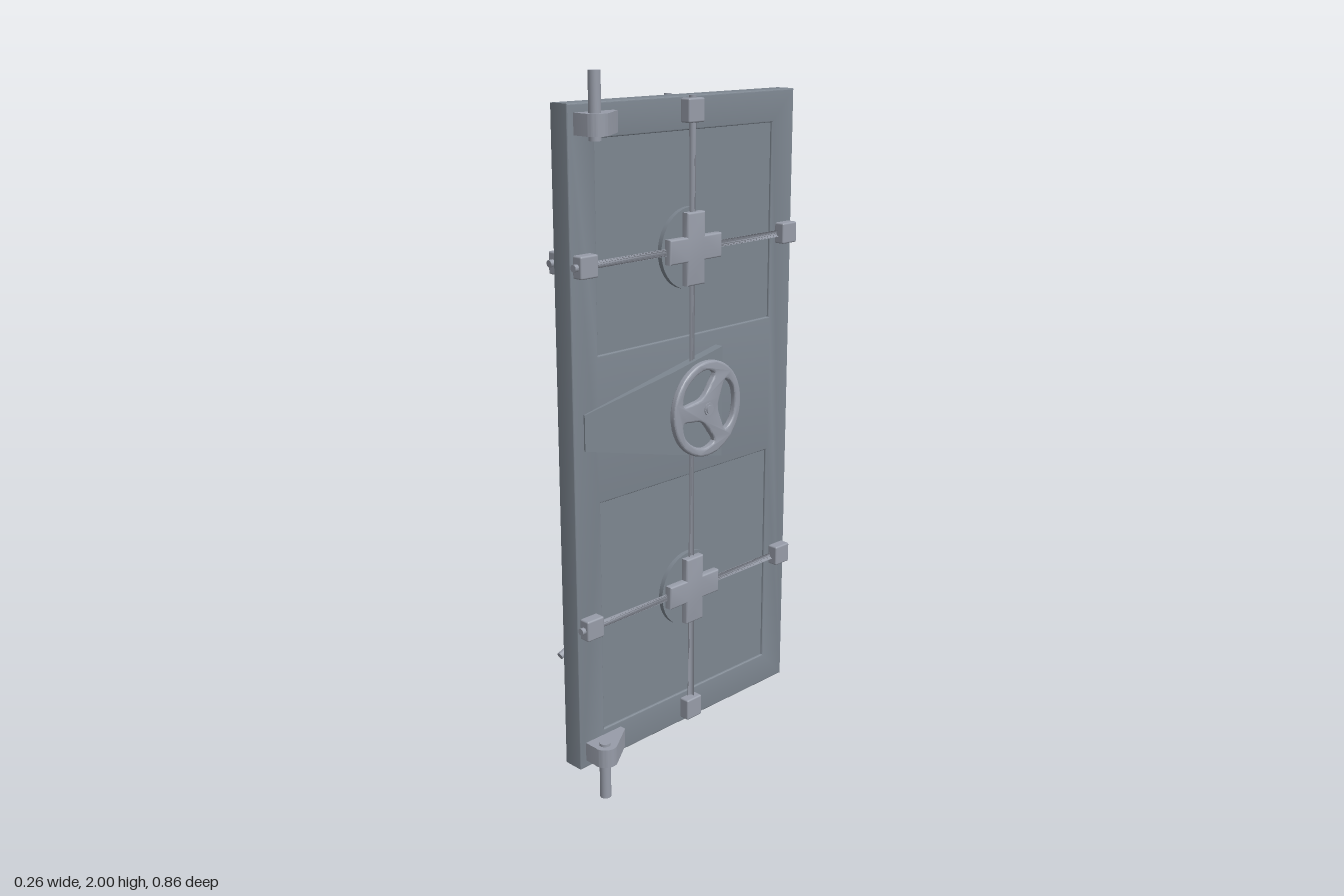
import * as THREE from 'three';
import { toCreasedNormals } from 'three/addons/utils/BufferGeometryUtils.js';
import { RoundedBoxGeometry } from 'three/addons/geometries/RoundedBoxGeometry.js';

const CX = 0.0155; // middle plane of the door
const HALF = 0.0325; // half the door thickness

export function createModel() {
  const model = new THREE.Group();
  const doorMat = new THREE.MeshStandardMaterial({ color: 0x7d8690 });
  const metalMat = new THREE.MeshStandardMaterial({ color: 0x979ca8 });

  const add = (name, geometry, material, x = 0, y = 0, z = 0, parent = model) => {
    const mesh = new THREE.Mesh(geometry, material);
    mesh.name = name;
    mesh.position.set(x, y, z);
    parent.add(mesh);
    return mesh;
  };
  const box = (name, w, h, d, x, y, z, parent) =>
    add(name, new RoundedBoxGeometry(w, h, d, 2, 0.005), metalMat, x, y, z, parent);

  // Outline drawn in (z, y), extruded along x and centred on x = 0
  const polygon = (pts) => new THREE.Shape(pts.map(([z, y]) => new THREE.Vector2(z, y)));
  const slab = (shape, thickness, bevel = 0) => {
    const g = new THREE.ExtrudeGeometry(shape, {
      depth: thickness - 2 * bevel, curveSegments: 24, bevelEnabled: bevel > 0,
      bevelThickness: bevel, bevelSize: bevel, bevelOffset: -bevel, bevelSegments: 3,
    });
    g.translate(0, 0, bevel - thickness / 2);
    g.rotateY(-Math.PI / 2);
    return toCreasedNormals(g, 0.6);
  };
  const rect = (z, y0, y1) => [[-z, y0], [z, y0], [z, y1], [-z, y1]];

  // Door leaf with an upper and a lower recessed panel on both faces
  const leaf = polygon(rect(0.425, 0.085, 1.92));
  for (const [y0, y1] of [[0.18, 0.86], [1.27, 1.83]]) {
    leaf.holes.push(polygon(rect(0.335, y0, y1)));
    add('recessedPanel', slab(polygon(rect(0.34, y0 - 0.005, y1 + 0.005)), 2 * HALF - 0.014), doorMat, CX);
  }
  add('doorLeaf', slab(leaf, 2 * HALF, 0.004), doorMat, CX);

  // Lock plate: even near the wheel, then tapering towards the hinge edge
  const edge = [[-0.11, 0.9, 1.225, 0.06], [0.08, 0.945, 1.185, 0.06], [0.39, 1.02, 1.12, 0.037]];
  for (let i = 0; i < 2; i++) {
    const [a, b] = [edge[i], edge[i + 1]];
    const g = new THREE.ExtrudeGeometry(
      polygon([[a[0], a[1]], [b[0], b[1]], [b[0], b[2]], [a[0], a[2]]]), { depth: 2, bevelEnabled: false });
    g.translate(0, 0, -1);
    g.rotateY(-Math.PI / 2);
    const p = g.attributes.position;
    for (let k = 0; k < p.count; k++) {
      const f = (p.getZ(k) - a[0]) / (b[0] - a[0]);
      p.setX(k, p.getX(k) * THREE.MathUtils.lerp(a[3], b[3], f));
    }
    g.computeVertexNormals();
    add('lockPlate', g, doorMat, CX);
  }

  // Rod through a few (x, y, z) points, with sharp or soft bends
  const rod = (name, pts) => {
    const v = pts.map((q) => new THREE.Vector3(...q));
    const curve = new THREE.CatmullRomCurve3(v, false, 'catmullrom', 0.3);
    add(name, new THREE.TubeGeometry(curve, v.length > 2 ? 24 : 1, 0.01, 12), metalMat);
    for (const [end, next] of [[v[0], v[1]], [v[v.length - 1], v[v.length - 2]]]) {
      const cap = add('rodEnd', new THREE.CircleGeometry(0.01, 12), metalMat, end.x, end.y, end.z);
      cap.lookAt(end.clone().multiplyScalar(2).sub(next));
    }
  };

  // Locking bars, crosses, discs and guide blocks on both faces
  for (const s of [1, -1]) {
    const x = CX + s * 0.047;
    for (const y of [0.515, 1.515]) {
      const disc = new THREE.CylinderGeometry(0.113, 0.113, 0.014, 40).rotateZ(Math.PI / 2);
      add('crossDisc', disc, doorMat, CX + s * (HALF + 0.003), y, 0);

      const cross = new THREE.Group();
      cross.name = 'lockingCross';
      const moved = s < 0 && y > 1; // this cross has slipped upwards
      cross.position.set(x, y + (moved ? 0.055 : 0), moved ? 0.015 : 0);
      if (moved) cross.rotation.x = 0.08;
      model.add(cross);
      const b = 0.034, a = 0.1;
      add('crossBody', slab(polygon([[-b, -a], [b, -a], [b, -b], [a, -b], [a, b], [b, b],
        [b, a], [-b, a], [-b, b], [-a, b], [-a, -b], [-b, -b]]), 0.034, 0.005), metalMat, 0, 0, 0, cross);

      for (const e of [-1, 1]) {
        if (s < 0 && y < 1 && e > 0) continue;
        box('sideGuide', 0.034, 0.06, 0.06, x, y, e * 0.386);
      }
    }
    for (const y of [0.132, 1.883]) box('endGuide', 0.034, 0.064, 0.06, x, y, 0);
    if (s > 0) {
      rod('verticalBar', [[x, 0.093, 0], [x, 1.922, 0]]);
      for (const y of [0.515, 1.515]) rod('horizontalBar', [[x, y, -0.428], [x, y, 0.428]]);
    } else {
      rod('lowerVerticalBar', [[x, 0.093, 0], [x, 1.06, 0]]);
      rod('bentVerticalBar', [[x, 1.06, 0], [x, 1.18, 0.01], [x - 0.004, 1.28, 0.0],
        [x, 1.38, 0.03], [x, 1.57, 0.015], [x, 1.72, 0.01], [x, 1.922, 0]]);
      rod('bentUpperBar', [[x, 1.515, -0.428], [x, 1.52, -0.3], [x, 1.565, -0.08], [x, 1.575, 0.1],
        [x, 1.58, 0.22], [x, 1.525, 0.34], [x, 1.515, 0.428]]);
      rod('bentLowerBar', [[x, 0.515, -0.428], [x, 0.515, 0], [x, 0.515, 0.17], [x, 0.48, 0.25], [x, 0.41, 0.425]]);
    }
  }

  // Three-spoked handwheel, axis along x
  const handwheel = (name, turn) => {
    const wheel = new THREE.Group();
    wheel.name = name;
    const rim = new THREE.Shape().absarc(0, 0, 0.138, 0, Math.PI * 2);
    const hole = [[0.113, 0], [0.113, 25], [0.102, 45], [0.072, 38], [0.042, 0], [0.072, -38], [0.102, -45], [0.113, -25]];
    for (let i = 0; i < 3; i++) {
      const pts = hole.map(([r, deg]) => {
        const t = THREE.MathUtils.degToRad(deg + 60 + i * 120) + turn;
        return new THREE.Vector3(r * Math.cos(t), r * Math.sin(t), 0);
      });
      const loop = new THREE.CatmullRomCurve3(pts, true).getPoints(32).slice(0, -1);
      rim.holes.push(new THREE.Path(loop.map((q) => new THREE.Vector2(q.x, q.y))));
    }
    add('wheelRim', slab(rim, 0.02, 0.006), metalMat, 0, 0, 0, wheel);
    add('wheelHub', new THREE.CylinderGeometry(0.018, 0.018, 0.026, 20).rotateZ(Math.PI / 2), metalMat, 0, 0, 0, wheel);
    model.add(wheel);
    return wheel;
  };
  const wheelA = handwheel('handwheel', 0);
  wheelA.position.set(0.101, 1.066, -0.018);
  wheelA.rotation.y = 0.03;

  // The second wheel has dropped off its spindle and leans outwards
  const wheelB = handwheel('looseHandwheel', Math.PI / 2);
  wheelB.position.set(-0.086, 0.97, -0.04);
  wheelB.quaternion.setFromUnitVectors(new THREE.Vector3(-1, 0, 0),
    new THREE.Vector3(-1, 0.25, -0.1).normalize());

  // Spindle passing through the door
  add('spindle', new THREE.CylinderGeometry(0.012, 0.012, 0.203, 16).rotateZ(Math.PI / 2), metalMat, 0.0165, 1.066, -0.018);

  // Hinge brackets and pins; bracket outline in (x, -z)
  const bracket = new THREE.Shape();
  bracket.moveTo(0.046, -0.405);
  bracket.lineTo(0.093, -0.405);
  bracket.absarc(0.093, -0.372, 0.034, -Math.PI / 2, 0.55);
  bracket.lineTo(0.066, -0.272);
  bracket.lineTo(0.046, -0.272);
  for (const [y, pinY] of [[0.135, 0.085], [1.87, 1.915]]) {
    const g = new THREE.ExtrudeGeometry(bracket, { depth: 0.055, bevelEnabled: false, curveSegments: 16 });
    g.rotateX(-Math.PI / 2);
    add('hingeBracket', toCreasedNormals(g, 0.6), metalMat, 0, y - 0.0275, 0);
    add('hingePin', new THREE.CylinderGeometry(0.016, 0.016, 0.17, 20), metalMat, 0.092, pinY, 0.373);
  }
  return model;
}
